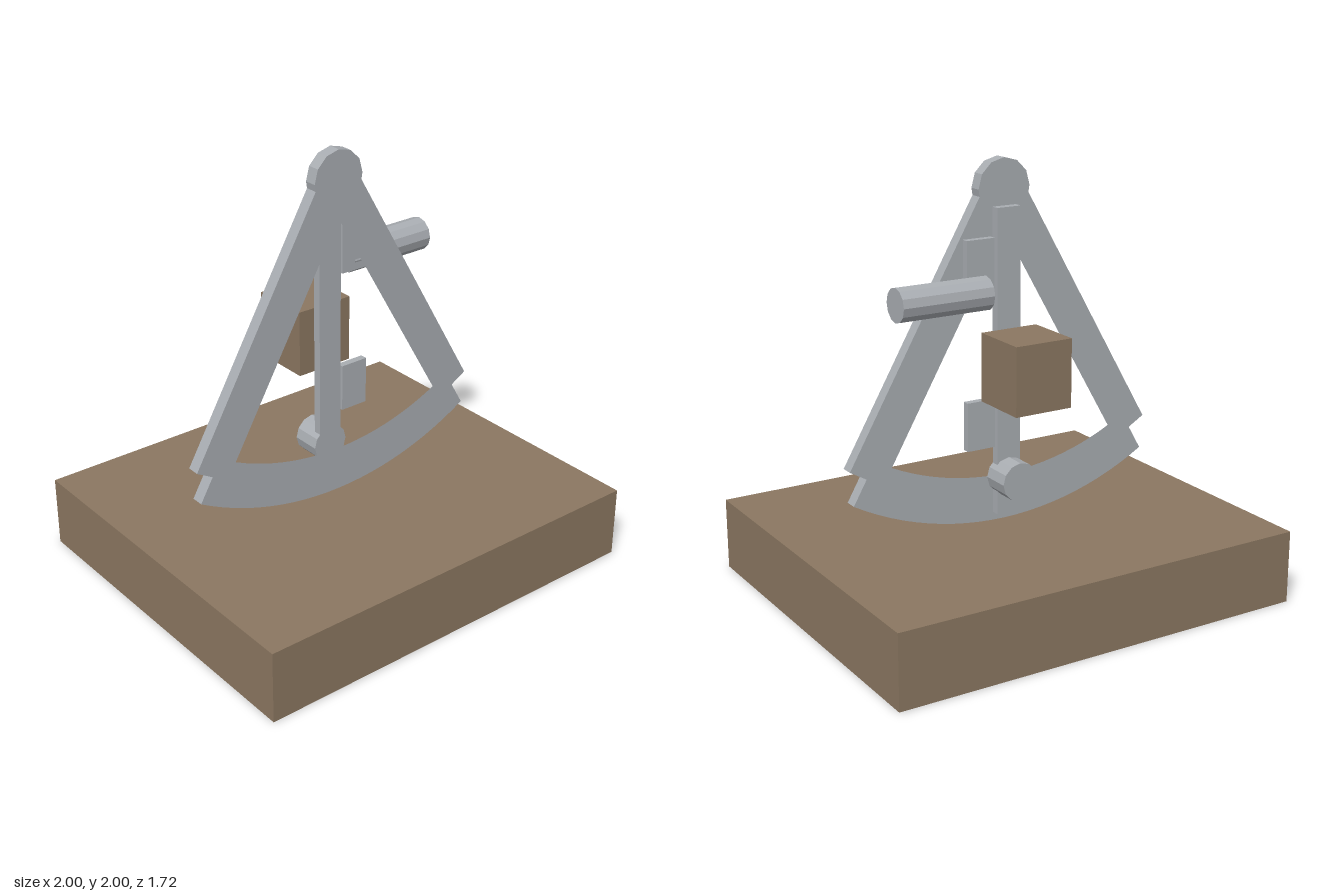
import * as THREE from 'three';

export function createModel() {
  const model = new THREE.Group();
  model.name = 'sextantOnPlinth';

  const metal = new THREE.MeshStandardMaterial({ color: 0xa9adb2 });
  metal.name = 'grey metal';
  const wood = new THREE.MeshStandardMaterial({ color: 0x8b7761 });
  wood.name = 'brown wood';

  const add = (name, geometry, material, x = 0, y = 0, z = 0) => {
    const mesh = new THREE.Mesh(geometry, material);
    mesh.name = name;
    mesh.position.set(x, y, z);
    model.add(mesh);
    return mesh;
  };
  // Box given by its extents on each axis
  const addBox = (name, material, [x0, x1], [y0, y1], [z0, z1]) =>
    add(name, new THREE.BoxGeometry(x1 - x0, y1 - y0, z1 - z0), material,
      (x0 + x1) / 2, (y0 + y1) / 2, (z0 + z1) / 2);
  // Faceted twelve-sided cylinder
  const rod = (radius, length) =>
    new THREE.CylinderGeometry(radius, radius, length, 12).toNonIndexed();
  const faceted = (geometry) => { geometry.computeVertexNormals(); return geometry; };

  // Frame dimensions, measured from the pivot
  const pivotY = 1.87, pivotR = 0.13, half = 0.092, legLength = 1.4;
  const outerR = 1.53, innerR = 1.315, spread = Math.PI / 6, depth = 0.06;

  // Point on the +x leg: distance along it and offset outwards
  const onLeg = (along, out) => new THREE.Vector2(
    along * Math.sin(spread) + out * Math.cos(spread),
    pivotY - along * Math.cos(spread) + out * Math.sin(spread));
  const mirror = (p) => new THREE.Vector2(-p.x, p.y);
  // Points along an arc hanging below the pivot, from +x to -x
  const arc = (radius, angle, steps) => Array.from({ length: steps + 1 }, (_, i) => {
    const a = angle * (1 - 2 * i / steps);
    return new THREE.Vector2(radius * Math.sin(a), pivotY - radius * Math.cos(a));
  });

  // Frame: rounded pivot head, two legs and the graduated limb in one plate
  const head = Array.from({ length: 7 }, (_, i) => {
    const a = Math.PI * (1 - i / 6);
    return new THREE.Vector2(pivotR * Math.cos(a), pivotY + pivotR * Math.sin(a));
  });
  const side = [onLeg(0.09, half), onLeg(legLength, half), onLeg(legLength, 0)];
  const outline = new THREE.Shape([
    ...head, ...side, ...arc(outerR, spread, 24), ...side.map(mirror).reverse(),
  ]);
  const innerAngle = spread - Math.asin(half / innerR);
  outline.holes.push(new THREE.Path([
    new THREE.Vector2(0, pivotY - half / Math.sin(spread)),
    ...arc(innerR, innerAngle, 22),
  ]));
  add('frame', new THREE.ExtrudeGeometry(outline, { depth, bevelEnabled: false }),
    metal, 0, 0, -depth / 2);

  // Moving arm and the two mirror plates behind the frame
  addBox('indexArm', metal, [-0.06, 0.06], [0.38, 1.79], [-0.07, -0.03]);
  addBox('indexMirror', metal, [0.07, 0.21], [1.39, 1.66], [-0.064, -0.03]);
  addBox('horizonMirror', metal, [0.07, 0.21], [0.705, 0.93], [-0.064, -0.03]);

  // Clamp knob at the foot of the arm
  const knob = rod(0.09, 0.14).rotateX(Math.PI / 2);
  add('clampKnob', faceted(knob), metal, 0, 0.555, -0.1);

  // Telescope tube
  const tube = rod(0.077, 0.445).rotateZ(Math.PI / 2);
  add('telescope', faceted(tube), metal, 0.362, 1.432, -0.105);

  // Wooden grip and plinth
  addBox('handle', wood, [-0.142, 0.142], [0.932, 1.246], [-0.356, -0.07]);
  addBox('plinth', wood, [-1, 1], [0, 0.34], [-0.858, 0.858]);

  return model;
}
